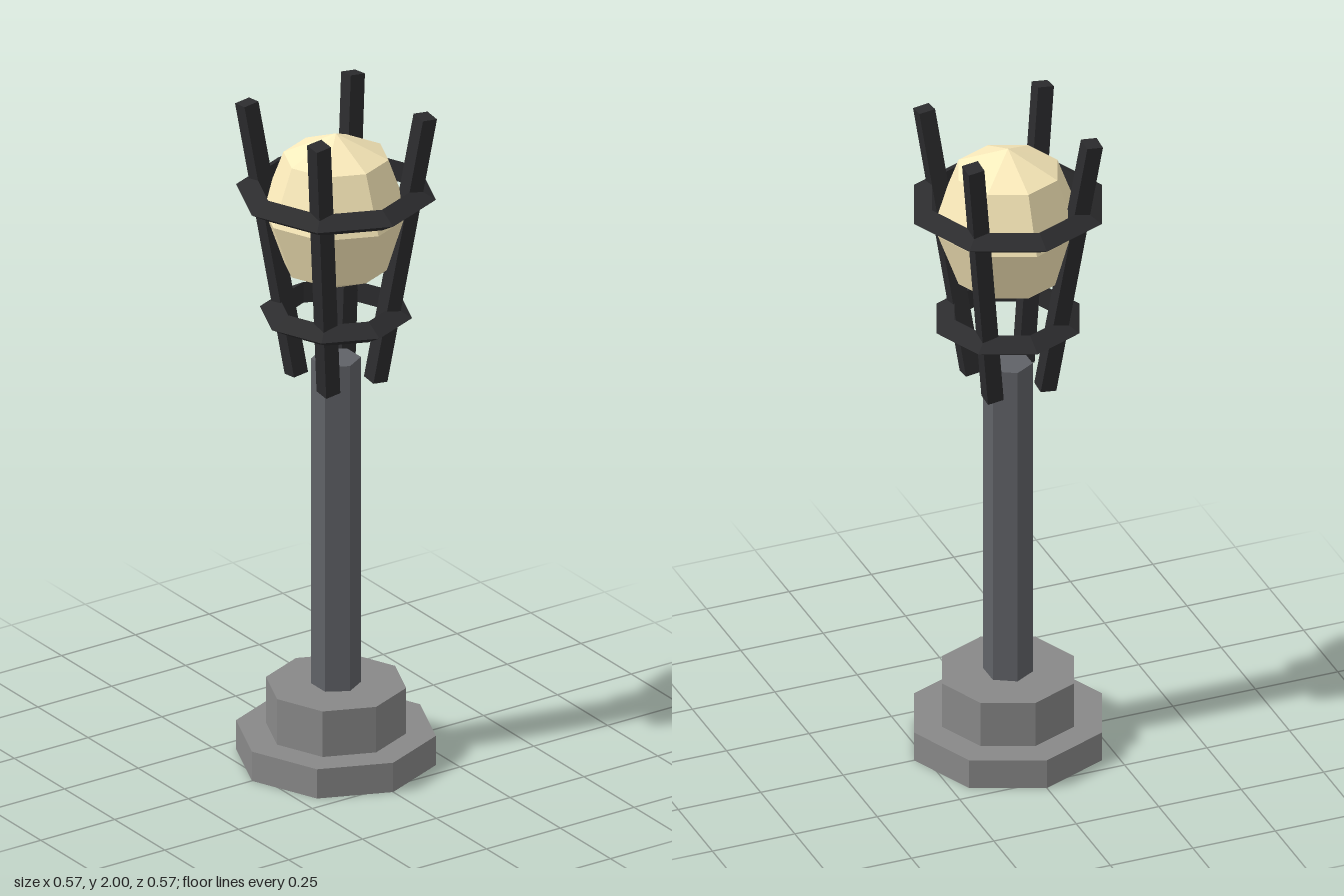
import * as THREE from 'three';

const flat = (color) => new THREE.MeshStandardMaterial({ color, flatShading: true });

export function createModel() {
  const model = new THREE.Group();
  model.name = 'streetLamp';
  const stone = flat(0x888888), steel = flat(0x606267), iron = flat(0x2c2c2e), glass = flat(0xfcecbc);

  const add = (name, geometry, material, y = 0) => {
    const mesh = new THREE.Mesh(geometry, material);
    mesh.name = name;
    mesh.position.y = y;
    model.add(mesh);
    return mesh;
  };

  // Upright prism standing between two heights
  const prism = (name, radius, sides, y0, y1, material) =>
    add(name, new THREE.CylinderGeometry(radius, radius, y1 - y0, sides), material, (y0 + y1) / 2);

  // Stepped octagonal base and hexagonal post
  prism('baseStep', 0.285, 8, 0, 0.09, stone);
  prism('basePlinth', 0.2, 8, 0.09, 0.23, stone);
  prism('post', 0.07, 6, 0.23, 1.23, steel);

  // Faceted globe, slightly taller than wide
  add('globe', new THREE.SphereGeometry(0.212, 8, 4).scale(1, 1.12, 1), glass, 1.683);

  // Octagonal hoops with a triangular section pointing outward
  const hoop = (name, outer, y) => {
    const tube = 0.0367;
    add(name, new THREE.TorusGeometry(outer - tube, tube, 3, 8).rotateX(Math.PI / 2), iron, y);
  };
  hoop('upperHoop', 0.285, 1.74);
  hoop('lowerHoop', 0.217, 1.37);

  // Four square bars leaning outward at the corners
  const up = new THREE.Vector3(0, 1, 0);
  for (const sx of [-1, 1]) {
    for (const sz of [-1, 1]) {
      const bottom = new THREE.Vector3(0.08 * sx, 1.174, 0.08 * sz);
      const top = new THREE.Vector3(0.18 * sx, 1.994, 0.18 * sz);
      const dir = top.clone().sub(bottom);
      const bar = add('cageBar', new THREE.BoxGeometry(0.048, dir.length(), 0.048), iron);
      bar.position.copy(bottom).add(top).multiplyScalar(0.5);
      bar.quaternion.setFromUnitVectors(up, dir.normalize());
    }
  }
  return model;
}
